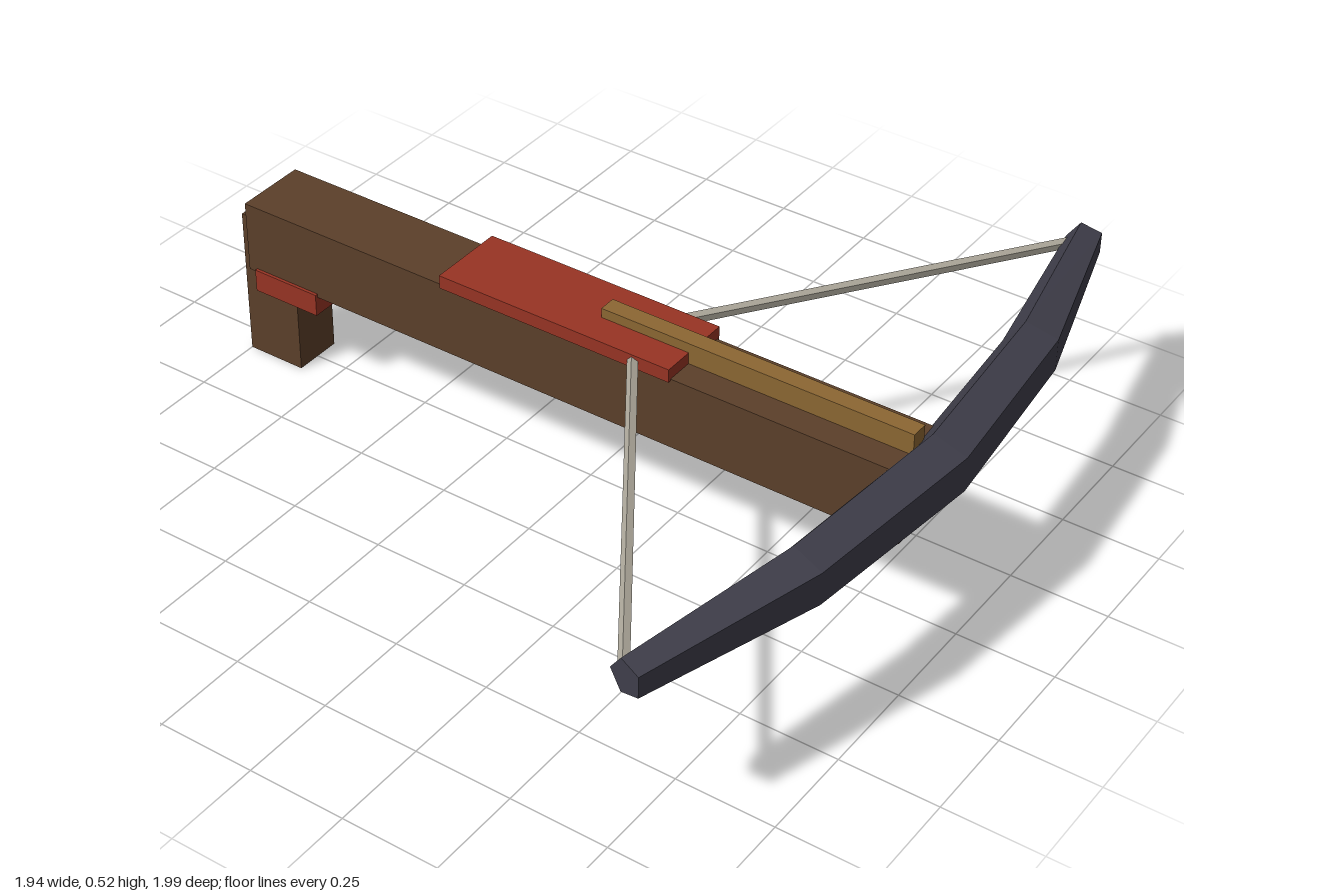
import * as THREE from 'three';

const mat = (name, color) => {
  const m = new THREE.MeshStandardMaterial({ color });
  m.name = name;
  m.flatShading = true;
  return m;
};

// Limb built from five-sided rings with a flat front, tapering to both tips
function limbGeometry() {
  const half = [[0, 0.927, 0.077], [0.495, 0.88, 0.072], [0.963, 0.766, 0.047]];
  const rings = [
    ...half.slice(1).reverse().map(([x, z, r]) => [-x, z, r]),
    ...half,
  ];
  const SIDES = 5, pos = [], index = [];
  rings.forEach(([x, z, r], i) => {
    const a = rings[Math.max(i - 1, 0)], b = rings[Math.min(i + 1, rings.length - 1)];
    const len = Math.hypot(b[0] - a[0], b[1] - a[1]);
    const nx = -(b[1] - a[1]) / len, nz = (b[0] - a[0]) / len; // forward across the limb
    for (let k = 0; k < SIDES; k++) {
      const t = ((k + 0.5) / SIDES) * Math.PI * 2;
      const u = Math.cos(t) * r;
      pos.push(x + nx * u, 0.446 + Math.sin(t) * r, z + nz * u);
    }
  });
  for (let i = 0; i < rings.length - 1; i++) {
    for (let k = 0; k < SIDES; k++) {
      const a = i * SIDES + k, b = i * SIDES + (k + 1) % SIDES;
      index.push(a, a + SIDES, b, b, a + SIDES, b + SIDES);
    }
  }
  // End caps
  const last = (rings.length - 1) * SIDES;
  for (let k = 1; k < SIDES - 1; k++) {
    index.push(0, k, k + 1, last, last + k + 1, last + k);
  }
  const g = new THREE.BufferGeometry();
  g.setAttribute('position', new THREE.Float32BufferAttribute(pos, 3));
  g.setIndex(index);
  const flat = g.toNonIndexed();
  flat.computeVertexNormals();
  return flat;
}

export function createModel() {
  const group = new THREE.Group();
  group.name = 'crossbow';
  const wood = mat('dark wood', 0x5c402a);
  const red = mat('red', 0x983424);
  const steel = mat('dark steel', 0x3f3e4a);
  const brass = mat('rail wood', 0x8c6733);
  const cord = mat('cord', 0xaaa598);

  const add = (name, geometry, material) => {
    const m = new THREE.Mesh(geometry, material);
    m.name = name;
    group.add(m);
    return m;
  };
  // Box centred on x, given by its width and its y and z ranges
  const box = (name, material, w, y0, y1, z0, z1) =>
    add(name, new THREE.BoxGeometry(w, y1 - y0, z1 - z0), material)
      .position.set(0, (y0 + y1) / 2, (z0 + z1) / 2);

  box('stock', wood, 0.19, 0.27, 0.46, -0.96, 0.89);
  box('grip', wood, 0.13, 0, 0.4, -1, -0.84);
  box('triggerBlock', red, 0.206, 0.22, 0.28, -0.935, -0.745);
  box('topPlate', red, 0.206, 0.455, 0.49, -0.36, 0.285);
  box('boltRail', brass, 0.045, 0.455, 0.515, 0.045, 0.87);

  add('bowLimb', limbGeometry(), steel);

  // String halves, from the limb tips into the top plate
  for (const s of [1, -1]) {
    const from = new THREE.Vector3(s * 0.945, 0.445, 0.75);
    const to = new THREE.Vector3(s * 0.06, 0.472, 0.16);
    const dir = to.clone().sub(from);
    const m = add(s > 0 ? 'leftString' : 'rightString',
      new THREE.CylinderGeometry(0.014, 0.014, dir.length(), 5), cord);
    m.position.copy(from).add(to).multiplyScalar(0.5);
    m.quaternion.setFromUnitVectors(new THREE.Vector3(0, 1, 0), dir.normalize());
  }
  return group;
}
